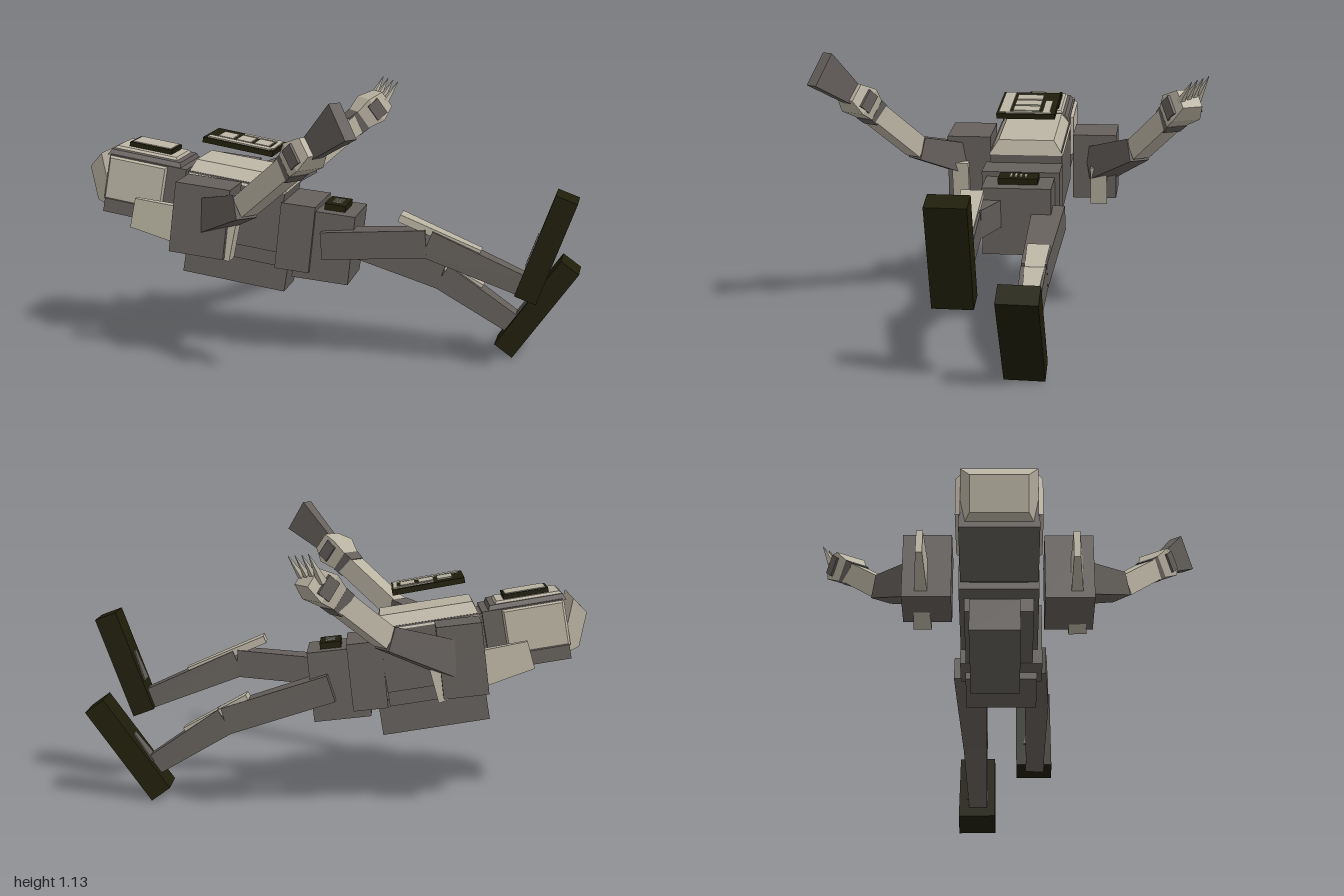
import * as THREE from 'three';

const mat = (name, hex) => {
  const m = new THREE.MeshStandardMaterial({ color: hex });
  m.name = name;
  return m;
};

export function createModel() {
  const dark = mat('dark grey', 0x645f5b);
  const light = mat('pale stone', 0xb9b3a2);
  const olive = mat('dark olive', 0x1f1e0b);
  const root = new THREE.Group();
  root.name = 'recliningFigure';
  const V = (p) => new THREE.Vector3(...p);

  // Tapered box from p0 to p1; each end has [width, height], height follows the up hint
  function bar(name, m, p0, p1, a, b = a, up = [0, 1, 0], parent = root) {
    const A = V(p0), B = V(p1), Z = B.clone().sub(A).normalize();
    const X = V(up).cross(Z).normalize(), Y = Z.clone().cross(X);
    const g = new THREE.BoxGeometry(1, 1, 1).toNonIndexed();
    const pos = g.attributes.position;
    for (let i = 0; i < pos.count; i++) {
      const t = pos.getZ(i) + 0.5;
      const v = A.clone().lerp(B, t)
        .addScaledVector(X, pos.getX(i) * (a[0] + (b[0] - a[0]) * t))
        .addScaledVector(Y, pos.getY(i) * (a[1] + (b[1] - a[1]) * t));
      pos.setXYZ(i, v.x, v.y, v.z);
    }
    g.computeVertexNormals();
    const mesh = new THREE.Mesh(g, m);
    mesh.name = name;
    parent.add(mesh);
    return mesh;
  }

  // Body section: local x runs toward the feet, y is the chest side, z is across
  function section(name, center, tilt) {
    const s = new THREE.Group();
    s.name = name;
    s.position.set(...center);
    s.rotation.set(0, 0.19, -tilt, 'YXZ');
    root.add(s);
    return s;
  }
  function box(parent, name, m, size, at) {
    const mesh = new THREE.Mesh(new THREE.BoxGeometry(...size), m);
    mesh.name = name;
    mesh.position.set(...at);
    parent.add(mesh);
    return mesh;
  }
  const S = [1, 0, 0]; // up hint for parts standing along local y

  // Head: dark block with pale crown, cheek panels and face plate
  const head = section('head', [-0.77, 0.68, 0.125], 0.17);
  box(head, 'skull', dark, [0.32, 0.24, 0.29], [0.02, -0.005, 0]);
  bar('crown', light, [-0.14, 0, 0], [-0.205, -0.025, 0], [0.28, 0.235], [0.21, 0.14], [0, 1, 0], head);
  for (const s of [-1, 1])
    bar('cheekPanel', light, [-0.02, 0.02, s * 0.14], [-0.02, 0.02, s * 0.158], [0.25, 0.185], [0.23, 0.165], [0, 1, 0], head);
  bar('brow', dark, [0, 0.11, 0], [0, 0.133, 0], [0.28, 0.31], [0.25, 0.29], S, head);
  bar('facePlate', light, [-0.01, 0.13, -0.01], [-0.01, 0.143, -0.01], [0.21, 0.27], [0.19, 0.25], S, head);
  box(head, 'visorFrame', olive, [0.18, 0.03, 0.145], [-0.005, 0.147, -0.02]);
  box(head, 'visor', light, [0.162, 0.006, 0.127], [-0.005, 0.162, -0.02]);

  // Chest: core, pale breast plate, back pack and raised panel
  const chest = section('chest', [-0.39, 0.6, 0.05], 0.16);
  box(chest, 'neck', dark, [0.12, 0.22, 0.22], [-0.22, 0.01, 0]);
  box(chest, 'chestCore', dark, [0.4, 0.26, 0.3], [0, 0, 0]);
  bar('breastPlate', light, [0, 0.115, 0], [0, 0.175, 0], [0.31, 0.41], [0.23, 0.37], S, chest);
  box(chest, 'backPack', dark, [0.43, 0.14, 0.19], [0.03, -0.235, -0.015]);
  box(chest, 'packMount', dark, [0.34, 0.1, 0.26], [0.03, -0.14, 0]);

  const panel = section('chestPanel', [-0.37, 0.86, 0.055], 0.18);
  box(panel, 'panelBoard', olive, [0.29, 0.022, 0.245], [0, 0, 0]);
  for (const x of [-0.07, 0.005, 0.08])
    box(panel, 'panelMark', light, [0.06, 0.006, 0.11], [x, 0.013, 0]);
  box(panel, 'panelLowerStrip', light, [0.26, 0.006, 0.045], [0, 0.013, 0.09]);
  box(panel, 'panelUpperStrip', light, [0.15, 0.006, 0.03], [0.05, 0.013, -0.085]);
  box(panel, 'panelEndStrip', light, [0.017, 0.006, 0.19], [0.13, 0.013, -0.01]);

  // Waist and pelvis with the belt plate
  const hips = section('hips', [-0.025, 0.468, -0.012], 0.11);
  box(hips, 'waist', dark, [0.14, 0.27, 0.32], [-0.115, 0.025, 0]);
  box(hips, 'pelvis', dark, [0.23, 0.28, 0.28], [0, 0, 0]);
  box(hips, 'beltPlate', olive, [0.085, 0.03, 0.16], [0.02, 0.15, 0]);
  for (const z of [-0.03, -0.01, 0.01, 0.03])
    box(hips, 'beltMark', light, [0.04, 0.005, 0.009], [0.02, 0.167, z]);

  // Shoulders: block with a tapering fin running through it
  const shoulderL = section('leftShoulder', [-0.42, 0.6, 0.325], 0.12);
  box(shoulderL, 'shoulderBlock', dark, [0.22, 0.28, 0.185], [0, 0, 0]);
  bar('shoulderFin', light, [-0.7, 0.61, 0.4], [-0.285, 0.525, 0.335], [0.025, 0.12], [0.07, 0.18]);
  const shoulderR = section('rightShoulder', [-0.545, 0.605, -0.195], 0.12);
  box(shoulderR, 'shoulderBlock', dark, [0.175, 0.28, 0.185], [0, 0, 0]);
  bar('shoulderFin', light, [-0.81, 0.62, -0.165], [-0.44, 0.515, -0.235], [0.025, 0.11], [0.07, 0.17]);

  // Arm: upper arm, forearm, cuff and a hand swelling at the knuckles
  function arm(side, shoulder, elbow, wrist, tip) {
    const w = V(wrist), t = V(tip), at = (k) => w.clone().lerp(t, k).toArray();
    bar(side + 'UpperArm', dark, shoulder, elbow, [0.14, 0.14], [0.09, 0.095]);
    bar(side + 'Forearm', light, elbow, wrist, [0.08, 0.085], [0.085, 0.085]);
    bar(side + 'Cuff', dark, at(-0.2), at(0.1), [0.08, 0.095], [0.095, 0.095]);
    bar(side + 'Palm', light, at(0), at(0.55), [0.085, 0.085], [0.13, 0.12]);
    bar(side + 'Knuckles', light, at(0.55), at(1), [0.13, 0.12], [0.09, 0.08]);
    bar(side + 'HandBack', dark, at(0.4), at(0.75), [0.135, 0.08]);
  }
  arm('left', [-0.4, 0.61, 0.33], [-0.17, 0.69, 0.49], [0.07, 0.875, 0.595], [0.175, 0.965, 0.645]);
  arm('right', [-0.5, 0.61, -0.23], [-0.29, 0.71, -0.44], [-0.14, 0.87, -0.61], [-0.05, 0.965, -0.7]);

  // Widening blade held in the left hand
  bar('blade', dark, [0.06, 0.87, 0.585], [0.315, 1.07, 0.71], [0.035, 0.04], [0.055, 0.15]);

  // Four claws on the right hand
  for (let i = 0; i < 4; i++) {
    const k = (i - 1.5) * 0.024;
    bar('claw', light, [-0.075 + k, 0.94 - k * 0.2, -0.685 + k * 0.8],
      [-0.03 + k * 1.2, 1.045 - k * 0.2, -0.745 + k * 0.7], [0.028, 0.028], [0.002, 0.002]);
  }

  // Leg: thigh, shin, pale knee guard and a tall foot with an instep plate
  function leg(side, hip, knee, ankle, g0, g1, heel, toe) {
    bar(side + 'Thigh', dark, hip, knee, [0.13, 0.11], [0.1, 0.11]);
    bar(side + 'Shin', dark, knee, ankle, [0.1, 0.11], [0.075, 0.08]);
    bar(side + 'KneeGuard', light, g0, g1, [0.09, 0.03], [0.06, 0.03]);
    const up = [-1, 0, 0.18];
    bar(side + 'Foot', olive, heel, toe, [0.155, 0.09], [0.155, 0.09], up);
    const a = V(heel), b = V(toe), d = b.clone().sub(a).normalize();
    const n = V(up).addScaledVector(d, -V(up).dot(d)).normalize().multiplyScalar(0.047);
    const at = (k) => a.clone().lerp(b, k).add(n).toArray();
    bar(side + 'InstepPlate', dark, at(0.28), at(0.58), [0.09, 0.006], [0.04, 0.006], up);
  }
  leg('left', [0, 0.48, 0.1], [0.42, 0.51, 0.055], [0.815, 0.345, -0.025],
    [0.31, 0.61, 0.075], [0.62, 0.475, 0.01], [0.8, 0.308, -0.025], [0.947, 0.71, -0.053]);
  leg('right', [-0.02, 0.46, -0.14], [0.4, 0.32, -0.205], [0.71, 0.12, -0.255],
    [0.31, 0.415, -0.195], [0.56, 0.275, -0.235], [0.655, 0.027, -0.25], [0.91, 0.385, -0.3]);

  return root;
}
